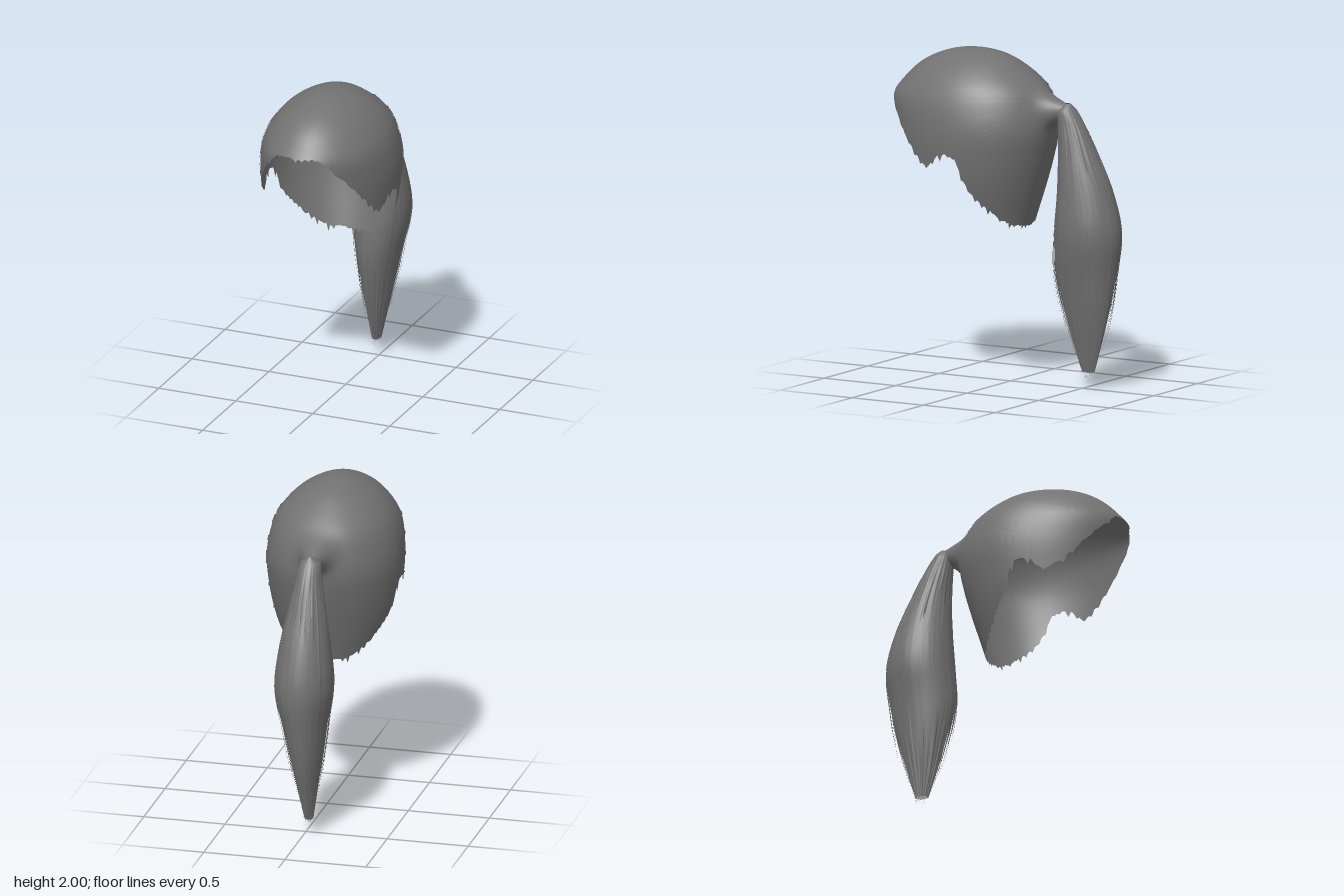
import * as THREE from 'three';
import { mergeGeometries } from 'three/addons/utils/BufferGeometryUtils.js';

let seed = 7;
const rand = () => (seed = (seed * 16807) % 2147483647) / 2147483647;
const rad = THREE.MathUtils.degToRad;
const lerp = THREE.MathUtils.lerp;

// Smooth lookup of column c in a table whose first column is ascending
function look(table, k, c) {
  const n = table.length - 1;
  let i = 0;
  while (i < n - 1 && k > table[i + 1][0]) i++;
  const slope = (j) => {
    const a = table[Math.max(j - 1, 0)], b = table[Math.min(j + 1, n)];
    return (b[c] - a[c]) / (b[0] - a[0]);
  };
  const p = table[i], q = table[i + 1], h = q[0] - p[0];
  const t = THREE.MathUtils.clamp((k - p[0]) / h, 0, 1), t2 = t * t, t3 = t2 * t;
  return (2 * t3 - 3 * t2 + 1) * p[c] + (t3 - 2 * t2 + t) * h * slope(i)
    + (3 * t2 - 2 * t3) * q[c] + (t3 - t2) * h * slope(i + 1);
}

// Grid surface from a point rule; a closed grid wraps around in u
function surface(cols, rows, closed, rule) {
  const pos = [], idx = [], w = closed ? cols : cols + 1;
  for (let j = 0; j <= rows; j++)
    for (let i = 0; i < w; i++) pos.push(...rule(i / cols, j / rows));
  for (let j = 0; j < rows; j++)
    for (let i = 0; i < cols; i++) {
      const a = j * w + i, b = j * w + ((i + 1) % w), c = a + w, d = b + w;
      idx.push(a, c, b, b, c, d);
    }
  const g = new THREE.BufferGeometry();
  g.setAttribute('position', new THREE.Float32BufferAttribute(pos, 3));
  g.setIndex(idx);
  g.computeVertexNormals();
  return g;
}

// Cap sections: depth below crown (square root), half width, front z, back z
const CAP = [
  [2, 0, 0.25, 0.25], [1.97, 0.13, 0.44, 0.05], [1.9, 0.245, 0.59, -0.08],
  [1.8, 0.335, 0.7, -0.2], [1.7, 0.38, 0.77, -0.255], [1.55, 0.405, 0.755, -0.28],
  [1.4, 0.4, 0.73, -0.255], [1.2, 0.37, 0.7, -0.2], [0.9, 0.28, 0.6, -0.11],
].map(([y, ...r]) => [Math.sqrt(2 - y), ...r]);

// Hairline: degrees from the front, height
const EDGE = [
  [0, 1.73], [20, 1.73], [30, 1.67], [40, 1.58], [52, 1.46], [64, 1.36], [74, 1.32],
  [85, 1.4], [97, 1.36], [104, 1.24], [112, 1.16], [127, 1.06], [145, 0.98], [180, 0.95],
];

// Ponytail sections: height, front z, back z, half width
const TAIL = [
  [0, -0.52, -0.54, 0.012], [0.2, -0.44, -0.61, 0.05], [0.45, -0.37, -0.68, 0.095],
  [0.7, -0.325, -0.725, 0.135], [0.95, -0.335, -0.75, 0.175], [1.2, -0.35, -0.69, 0.15],
  [1.45, -0.35, -0.58, 0.105], [1.6, -0.34, -0.505, 0.075], [1.68, -0.34, -0.45, 0.06],
  [1.715, -0.38, -0.42, 0.015],
];

// Point on the cap at angle a from the front; pulled back into the tie
function capPoint(a, y, lift = 0) {
  const s = Math.sqrt(Math.max(2 - y, 0));
  const w = look(CAP, s, 1), zf = look(CAP, s, 2), zb = look(CAP, s, 3);
  const zc = lerp(zb, zf, 0.46), c = Math.cos(a);
  const x = (w + lift) * Math.sin(a);
  let z = zc + c * ((c > 0 ? zf - zc : zc - zb) + lift);
  if (c < 0) z -= 0.17 * Math.exp(-(x * x + (y - 1.675) ** 2) / 0.0058);
  return [x, y, z];
}

function tailPoint(a, y, f) {
  const zf = look(TAIL, y, 1), zb = look(TAIL, y, 2);
  const drift = -0.03 * Math.max(0, 1 - y / 0.8);
  return [
    drift + f * look(TAIL, y, 3) * Math.sin(a), y,
    (zf + zb) / 2 + f * ((zf - zb) / 2) * Math.cos(a),
  ];
}

export function createModel() {
  const model = new THREE.Group();
  const hair = new THREE.MeshStandardMaterial({ color: 0x727272, side: THREE.DoubleSide });
  hair.name = 'charcoal hair';
  const add = (name, geometry) => {
    const m = new THREE.Mesh(geometry, hair);
    m.name = name;
    model.add(m);
  };

  // Scalp cap with a ragged hairline
  const cols = 180;
  const edge = Array.from({ length: cols }, (_, i) => {
    const deg = Math.abs(((i * 360) / cols + 180) % 360 - 180);
    const rag = deg < 30 ? 0.02 : deg > 150 ? 0.03 : 0.06;
    return look(EDGE, deg, 1) + (i % 3 ? rand() * 0.3 : rand() - 0.6) * rag;
  });
  add('scalpCap', surface(cols, 70, true, (u, v) => {
    const e = edge[Math.round(u * cols) % cols];
    return capPoint(u * Math.PI * 2, 2 - (2 - e) * v ** 1.7);
  }));

  // Thin combed locks on both sides, sweeping back to the tie
  const locks = [];
  for (const side of [-1, 1])
    for (let i = 0; i < 8; i++) {
      const a0 = 36 + i * 11 + rand() * 5, y0 = look(EDGE, a0, 1) + 0.03 + rand() * 0.08;
      const y1 = 1.74 - i * 0.015, bow = 0.1 - i * 0.022;
      locks.push(surface(1, 24, false, (u, v) => {
        const y = lerp(y0, y1, v) + bow * Math.sin(v * Math.PI);
        const wide = 0.03 * Math.sin(Math.PI * (0.08 + 0.9 * v));
        return capPoint(side * rad(lerp(a0, 166, v)), y + (u - 0.5) * wide, 0.005);
      }));
    }
  add('combedLocks', mergeGeometries(locks));

  // Ponytail body with lengthwise grooves
  add('ponytail', surface(132, 48, true, (u, v) => {
    const a = u * Math.PI * 2, y = lerp(1.715, 0.1, v);
    const groove = 0.035 * Math.min(1, v * 4) * (Math.cos(22 * a) + 0.6 * Math.cos(9 * a + 1));
    return tailPoint(a, y, lerp(0.98, 0.78, v * v) + groove);
  }));

  // Loose tapering strands around the ponytail
  const strands = [];
  const count = 130;
  for (let i = 0; i < count; i++) {
    const a = (i / count) * Math.PI * 2 + rand() * 0.04;
    const top = lerp(1.2, 1.64, rand());
    const end = i === 0 ? 0 : lerp(0.03, 0.5, rand() ** 1.3);
    const f0 = 0.97 + rand() * 0.05, f1 = end < 0.2 ? 0.6 + rand() * 0.4 : 0.9 + rand() * 0.25;
    const width = 0.1 + rand() * 0.07;
    strands.push(surface(1, 22, false, (u, v) => {
      const taper = Math.min(1, v * 8 + 0.1) * Math.min(1, (1 - v) * 2.2);
      return tailPoint(a + (u - 0.5) * width * taper, lerp(top, end, v), lerp(f0, f1, v ** 3));
    }));
  }
  add('looseStrands', mergeGeometries(strands));

  return model;
}
